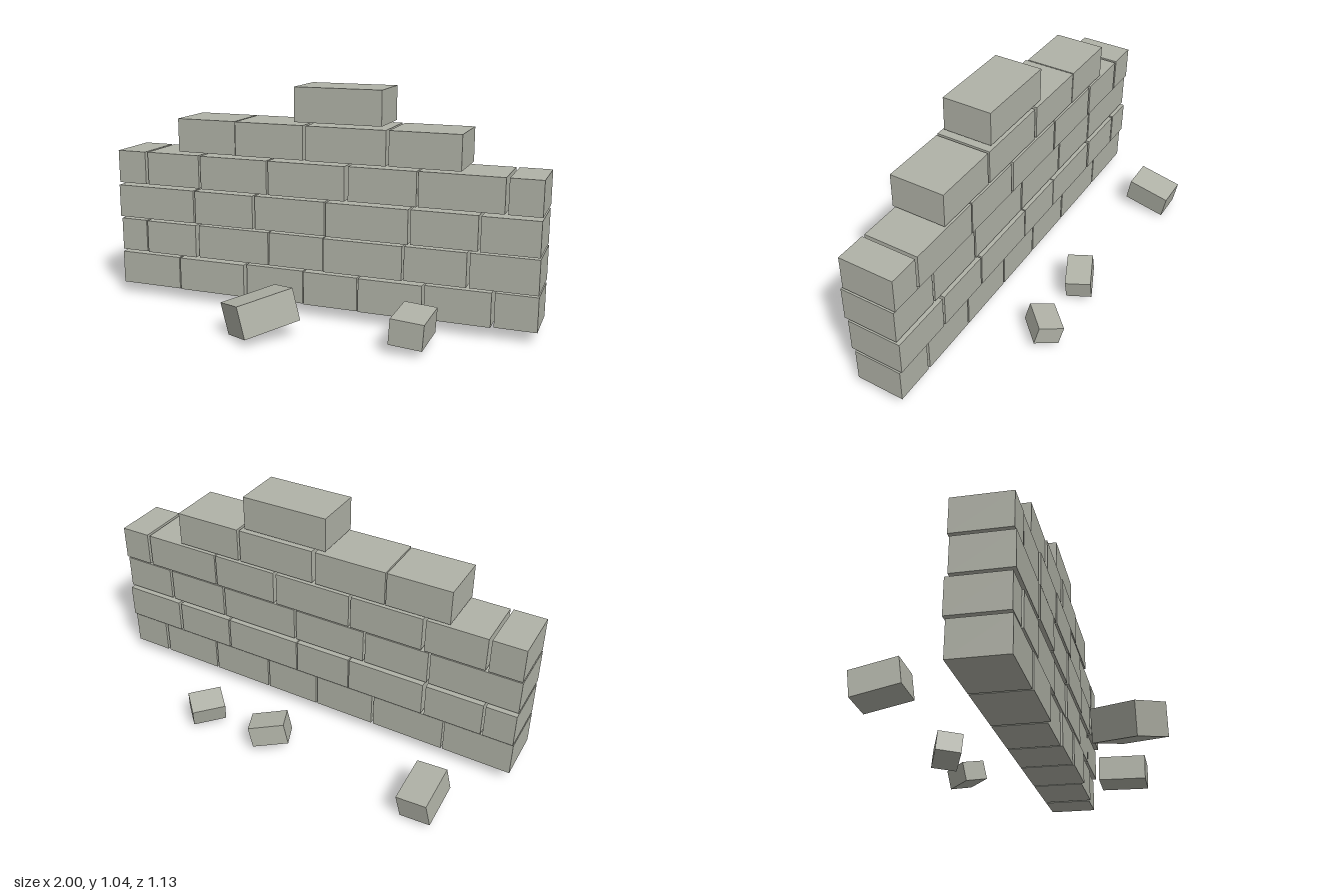
import * as THREE from 'three';

const stone = new THREE.MeshStandardMaterial({ color: 0xb0b2a7 });
stone.name = 'greyStone';

const BRICK_HEIGHT = 0.155;
const COURSE_PITCH = 0.167;
const BASE = 0.053;

// Each course: back face z, then bricks as [left edge, right edge, front face z]
const courses = [
  { back: -0.132, bricks: [[-1, -0.69, 0.11], [-0.682, -0.348, 0.115], [-0.338, -0.058, 0.1], [-0.05, 0.206, 0.109],
    [0.214, 0.505, 0.115], [0.513, 0.804, 0.1], [0.817, 1, 0.091]] },
  { back: -0.144, bricks: [[-1, -0.865, 0.107], [-0.855, -0.595, 0.114], [-0.58, -0.225, 0.108], [-0.22, 0.042, 0.106],
    [0.048, 0.412, 0.114], [0.42, 0.695, 0.107], [0.708, 1, 0.106]] },
  { back: -0.132, bricks: [[-1, -0.6, 0.117], [-0.59, -0.295, 0.12], [-0.285, 0.053, 0.114], [0.063, 0.438, 0.12],
    [0.448, 0.74, 0.115], [0.752, 1, 0.121]] },
  { back: -0.141, bricks: [[-1, -0.855, 0.11], [-0.842, -0.572, 0.108], [-0.558, -0.225, 0.116], [-0.215, 0.148, 0.119],
    [0.163, 0.47, 0.112], [0.477, 0.845, 0.108], [0.859, 1, 0.109]] },
  { back: -0.139, bricks: [[-0.675, -0.386, 0.1], [-0.38, -0.05, 0.108], [-0.034, 0.333, 0.114], [0.345, 0.66, 0.111]] },
  { back: -0.13, bricks: [[-0.095, 0.308, 0.097]] },
];

// Loose bricks: size, centre, and the directions of their own x and y axes
const fallen = [
  { size: [0.265, 0.145, 0.182], at: [-0.13, 0.108, 0.402], x: [0.166, 0.04, -0.203], y: [-0.037, 0.14, 0] },
  { size: [0.145, 0.114, 0.218], at: [0.521, 0.097, 0.305], x: [0.145, -0.01, 0], y: [0.008, 0.114, 0.002] },
  { size: [0.137, 0.118, 0.204], at: [-0.74, 0.094, -0.453], x: [0.137, -0.016, 0.006], y: [0.013, 0.115, -0.022] },
  { size: [0.163, 0.098, 0.116], at: [0.02, 0.09, -0.426], x: [0.15, -0.036, -0.065], y: [0.022, 0.09, 0] },
  { size: [0.15, 0.09, 0.115], at: [0.362, 0.084, -0.43], x: [0.107, -0.006, -0.107], y: [-0.019, 0.088, -0.012] },
];

function brick(name, size, at) {
  const mesh = new THREE.Mesh(new THREE.BoxGeometry(...size), stone);
  mesh.name = name;
  mesh.position.set(...at);
  return mesh;
}

export function createModel() {
  const model = new THREE.Group();
  model.name = 'ruinedWall';

  // Wall, one group per course
  courses.forEach(({ back, bricks }, row) => {
    const course = new THREE.Group();
    course.name = `course${row + 1}`;
    const y = BASE + row * COURSE_PITCH + BRICK_HEIGHT / 2;
    bricks.forEach(([x0, x1, front], i) => {
      course.add(brick(`wallBrick${i + 1}`, [x1 - x0, BRICK_HEIGHT, front - back],
        [(x0 + x1) / 2, y, (front + back) / 2]));
    });
    model.add(course);
  });

  // Bricks scattered on the ground
  const rubble = new THREE.Group();
  rubble.name = 'rubble';
  fallen.forEach(({ size, at, x, y }, i) => {
    const mesh = brick(`fallenBrick${i + 1}`, size, at);
    const xAxis = new THREE.Vector3(...x).normalize();
    const zAxis = new THREE.Vector3().crossVectors(xAxis, new THREE.Vector3(...y)).normalize();
    const yAxis = new THREE.Vector3().crossVectors(zAxis, xAxis);
    mesh.quaternion.setFromRotationMatrix(new THREE.Matrix4().makeBasis(xAxis, yAxis, zAxis));
    rubble.add(mesh);
  });
  model.add(rubble);

  return model;
}
